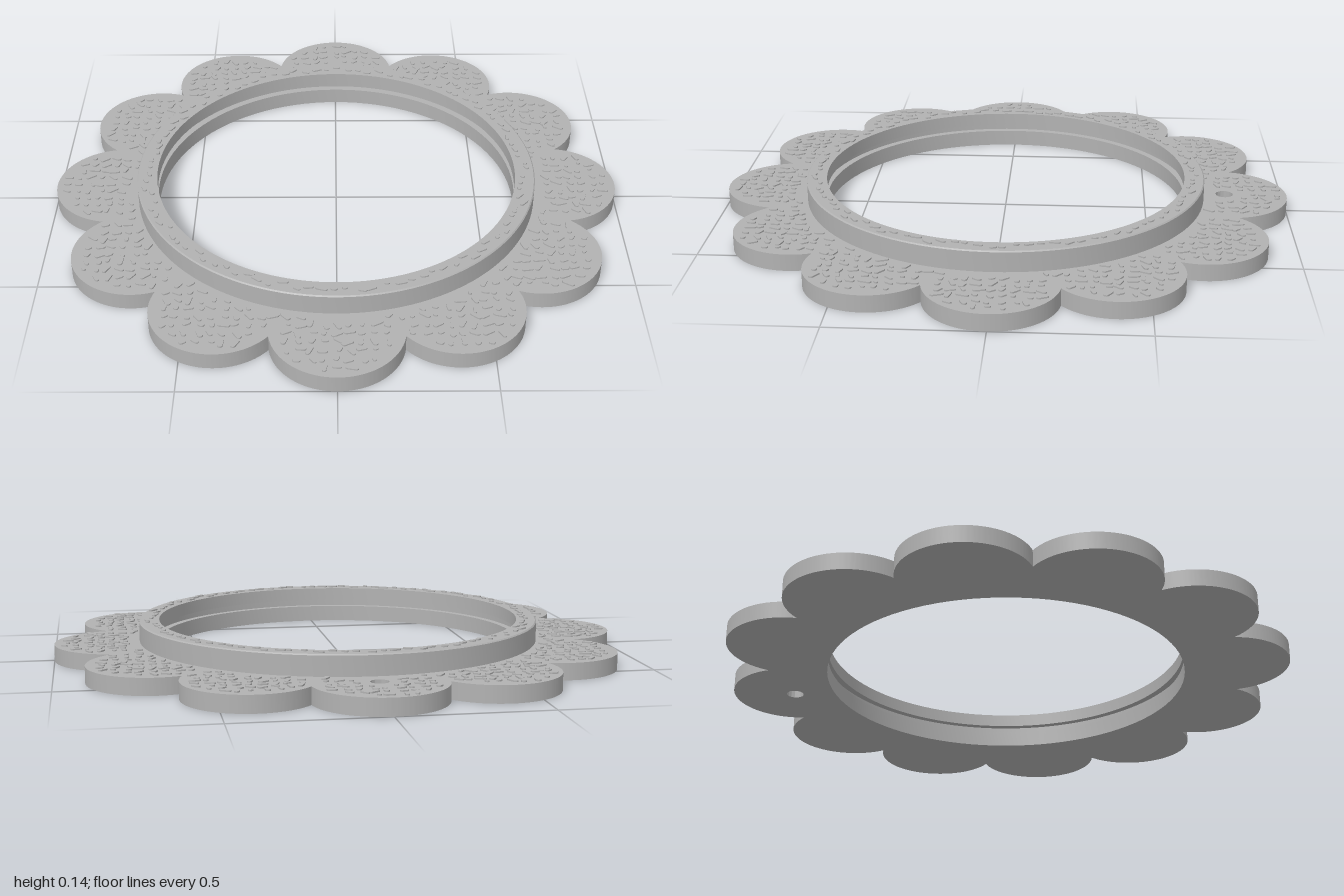
import * as THREE from 'three';
import { mergeGeometries, toCreasedNormals } from 'three/addons/utils/BufferGeometryUtils.js';

const PETALS = 12, PETAL_DIST = 0.78, PETAL_R = 0.22, INNER_R = 0.635;
const BASE_TOP = 0.058, RING_TOP = 0.13, HOLE_Z = -0.78, HOLE_R = 0.03;

// Small seeded generator for scattering the pebbles
function makeRandom(seed) {
  return () => {
    seed = (seed * 16807) % 2147483647;
    return seed / 2147483647;
  };
}

// Scalloped plate with a large centre opening and a small hanging hole
function basePlate() {
  const half = Math.PI / PETALS;
  const notchR = PETAL_DIST * Math.cos(half) + Math.sqrt(PETAL_R ** 2 - (PETAL_DIST * Math.sin(half)) ** 2);
  const sweep = Math.atan2(notchR * Math.sin(half), notchR * Math.cos(half) - PETAL_DIST);
  const shape = new THREE.Shape();
  for (let i = 0; i < PETALS; i++) {
    const a = (i / PETALS) * Math.PI * 2;
    shape.absarc(Math.cos(a) * PETAL_DIST, Math.sin(a) * PETAL_DIST, PETAL_R, a - sweep, a + sweep, false);
  }
  const opening = new THREE.Path().absarc(0, 0, INNER_R, 0, Math.PI * 2, true);
  const hole = new THREE.Path().absarc(0, -HOLE_Z, HOLE_R, 0, Math.PI * 2, true);
  shape.holes.push(opening, hole);
  const geo = new THREE.ExtrudeGeometry(shape, { depth: BASE_TOP, bevelEnabled: false, curveSegments: 48 });
  geo.rotateX(-Math.PI / 2);
  return toCreasedNormals(geo, 0.5);
}

// Raised rim with an undercut groove on its inside
function rim() {
  const profile = [
    [0.705, BASE_TOP], [0.705, 0.126], [0.701, RING_TOP], [INNER_R, RING_TOP],
    [INNER_R, 0.084], [0.66, 0.084], [0.66, BASE_TOP],
  ].map(([r, y]) => new THREE.Vector2(r, y));
  return toCreasedNormals(new THREE.LatheGeometry(profile, 128), 0.5);
}

// One flat-topped, rounded, elongated pebble
function pebble(x, y, z, angle, length, r) {
  const s = new THREE.Shape();
  s.absarc(length / 2, 0, r, -Math.PI / 2, Math.PI / 2, false);
  s.absarc(-length / 2, 0, r, Math.PI / 2, Math.PI * 1.5, false);
  const geo = new THREE.ExtrudeGeometry(s, { depth: 0.006, bevelEnabled: false, curveSegments: 4 });
  return geo.rotateX(-Math.PI / 2).rotateY(angle).translate(x, y - 0.001, z);
}

// True where a pebble fits on a petal, clear of the edge, rim and hole
function onPetals(x, z) {
  const r = Math.hypot(x, z);
  if (r < 0.73 || Math.hypot(x, z - HOLE_Z) < 0.06) return false;
  const step = (Math.PI * 2) / PETALS;
  const a = Math.round(Math.atan2(z, x) / step) * step;
  return Math.hypot(x - Math.cos(a) * PETAL_DIST, z - Math.sin(a) * PETAL_DIST) < PETAL_R - 0.025;
}

// Pebbles on a jittered grid over the petals
function petalPebbles() {
  const rand = makeRandom(71), parts = [], step = 0.04;
  for (let gx = -1; gx <= 1; gx += step) {
    for (let gz = -1; gz <= 1; gz += step) {
      const x = gx + (rand() - 0.5) * 0.016, z = gz + (rand() - 0.5) * 0.016;
      const angle = rand() * Math.PI, length = 0.004 + rand() * 0.024, r = 0.006 + rand() * 0.003;
      if (onPetals(x, z)) parts.push(pebble(x, BASE_TOP, z, angle, length, r));
    }
  }
  return mergeGeometries(parts);
}

// Pebbles around the top of the rim
function rimPebbles() {
  const rand = makeRandom(29), parts = [], count = 100;
  for (let i = 0; i < count; i++) {
    const a = ((i + rand() * 0.4) / count) * Math.PI * 2;
    const r = 0.652 + rand() * 0.032;
    const turn = -a + Math.PI / 2 + (rand() - 0.5);
    parts.push(pebble(Math.cos(a) * r, RING_TOP, Math.sin(a) * r, turn, 0.004 + rand() * 0.022, 0.007));
  }
  return mergeGeometries(parts);
}

export function createModel() {
  const grey = new THREE.MeshStandardMaterial({ color: 0xb2b2b2 });
  grey.name = 'grey';
  const model = new THREE.Group();
  model.name = 'flowerFrame';
  const parts = { scallopedBase: basePlate(), raisedRim: rim(), petalPebbles: petalPebbles(), rimPebbles: rimPebbles() };
  for (const [name, geometry] of Object.entries(parts)) {
    const mesh = new THREE.Mesh(geometry, grey);
    mesh.name = name;
    model.add(mesh);
  }
  return model;
}
